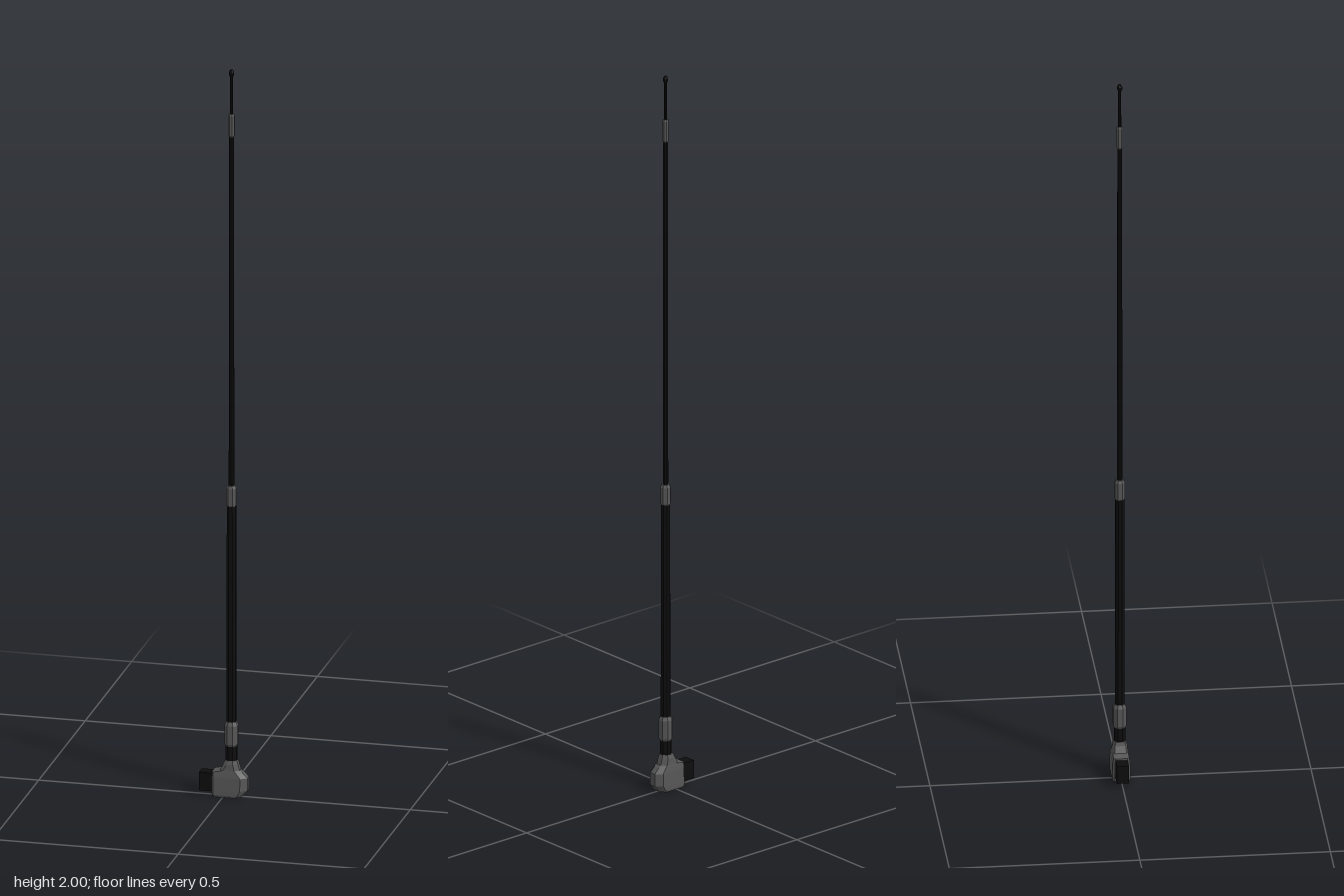
import * as THREE from 'three';

const black = new THREE.MeshStandardMaterial({ color: 0x0d0d0d, flatShading: true });
const grey = new THREE.MeshStandardMaterial({ color: 0x565656, flatShading: true });
const AXIS_X = 0.019;

// Eight-sided turned part on the mast axis, from [radius, y] pairs listed bottom to top
function turned(name, material, profile) {
  const points = profile.map(([r, y]) => new THREE.Vector2(r, y));
  const geometry = new THREE.LatheGeometry(points, 8, Math.PI / 8);
  const mesh = new THREE.Mesh(geometry, material);
  mesh.name = name;
  mesh.position.x = AXIS_X;
  return mesh;
}

const rod = (name, r0, r1, y0, y1) =>
  turned(name, black, [[0, y0], [r0, y0], [r1, y1], [0, y1]]);

// Collar with bevelled rims
function collar(name, r, y0, y1) {
  const b = r * 0.25;
  return turned(name, grey, [
    [0, y0], [r - b, y0], [r, y0 + b * 2], [r, y1 - b * 2], [r - b, y1], [0, y1],
  ]);
}

// Horizontal section with cut corners, counter-clockwise from above
function section({ y, x0, x1, z, cutL, cutR, end }) {
  const e = z * end;
  return [
    [x1, e], [x1, -e], [x1 - cutR, -z], [x0 + cutL, -z],
    [x0, -z * 0.75], [x0, z * 0.75], [x0 + cutL, z], [x1 - cutR, z],
  ].map(([x, zz]) => new THREE.Vector3(x, y, zz));
}

// Closed loft through stacked sections
function loft(rings) {
  const pos = [];
  const tri = (...corners) => corners.forEach((p) => pos.push(p.x, p.y, p.z));
  const n = rings[0].length;
  for (let k = 0; k < rings.length - 1; k++) {
    for (let i = 0; i < n; i++) {
      const j = (i + 1) % n;
      const [lo, hi] = [rings[k], rings[k + 1]];
      tri(lo[i], lo[j], hi[j]);
      tri(lo[i], hi[j], hi[i]);
    }
  }
  const top = rings[rings.length - 1];
  for (let i = 1; i < n - 1; i++) {
    tri(top[0], top[i], top[i + 1]);
    tri(rings[0][0], rings[0][i + 1], rings[0][i]);
  }
  const geometry = new THREE.BufferGeometry();
  geometry.setAttribute('position', new THREE.Float32BufferAttribute(pos, 3));
  geometry.computeVertexNormals();
  return geometry;
}

export function createModel() {
  const group = new THREE.Group();
  group.name = 'antenna';

  // Elbow base: wide foot narrowing to the mast socket
  const base = new THREE.Mesh(loft([
    { y: 0, x0: -0.027, x1: 0.046, z: 0.022, cutL: 0.005, cutR: 0.012, end: 0.45 },
    { y: 0.006, x0: -0.03, x1: 0.052, z: 0.024, cutL: 0.005, cutR: 0.013, end: 0.4 },
    { y: 0.02, x0: -0.03, x1: 0.064, z: 0.024, cutL: 0.005, cutR: 0.017, end: 0.4 },
    { y: 0.054, x0: -0.03, x1: 0.064, z: 0.023, cutL: 0.005, cutR: 0.017, end: 0.4 },
    { y: 0.068, x0: -0.03, x1: 0.05, z: 0.021, cutL: 0.005, cutR: 0.014, end: 0.4 },
    { y: 0.073, x0: -0.009, x1: 0.043, z: 0.02, cutL: 0.008, cutR: 0.012, end: 0.4 },
    { y: 0.09, x0: 0, x1: 0.038, z: 0.019, cutL: 0.011, cutR: 0.011, end: 0.42 },
    { y: 0.1, x0: 0.003, x1: 0.035, z: 0.016, cutL: 0.009, cutR: 0.009, end: 0.42 },
  ].map(section)), grey);
  base.name = 'elbowBase';
  group.add(base);

  // Plug on the side of the base
  const plug = new THREE.Mesh(new THREE.BoxGeometry(0.045, 0.05, 0.032), black);
  plug.name = 'sidePlug';
  plug.position.set(-0.0425, 0.038, 0);
  group.add(plug);

  // Mast sections
  group.add(
    rod('stem', 0.016, 0.016, 0.09, 0.15),
    rod('lowerMast', 0.0135, 0.0125, 0.15, 0.82),
    rod('upperMast', 0.0075, 0.0065, 0.82, 1.84),
    rod('tipWhip', 0.0045, 0.004, 1.84, 1.985),
  );

  // Joint collars
  group.add(
    collar('lowerCollar', 0.019, 0.135, 0.205),
    collar('middleCollar', 0.0145, 0.795, 0.855),
    collar('upperCollar', 0.009, 1.815, 1.878),
  );

  // Small bead at the tip
  group.add(turned('tipBead', black, [
    [0, 1.978], [0.004, 1.98], [0.007, 1.986], [0.007, 1.993], [0.004, 1.999], [0, 2],
  ]));

  return group;
}
